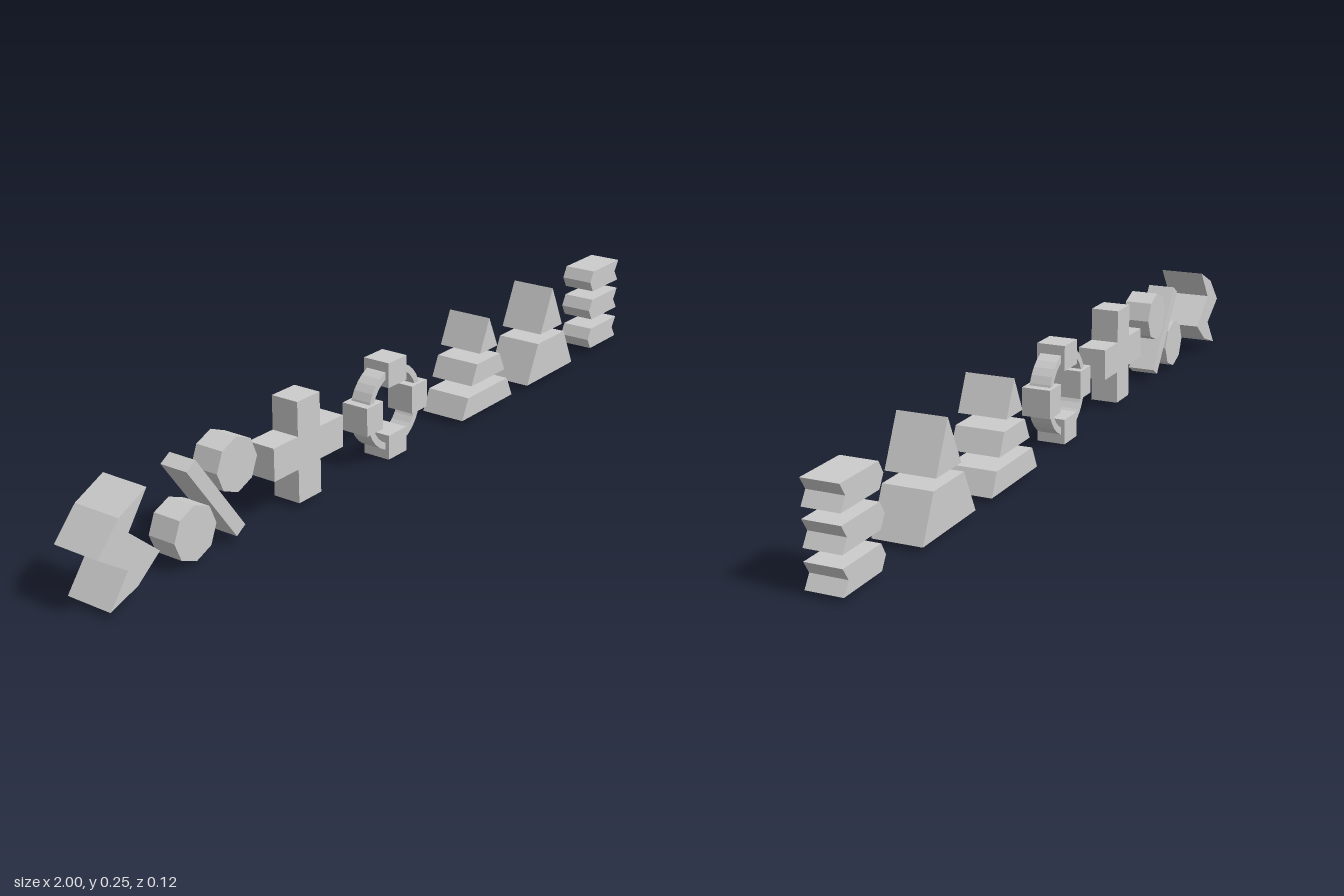
import * as THREE from 'three';

const material = new THREE.MeshStandardMaterial({ color: 0xcccccc, flatShading: true });

export function createModel() {
  const model = new THREE.Group();

  const symbol = (name) => {
    const group = new THREE.Group();
    group.name = name;
    model.add(group);
    return group;
  };

  // Extrude a closed outline symmetrically about z = 0
  const slab = (parent, name, outline, halfDepth, hole) => {
    const shape = new THREE.Shape(outline.map(([x, y]) => new THREE.Vector2(x, y)));
    if (hole) shape.holes.push(new THREE.Path(hole.map(([x, y]) => new THREE.Vector2(x, y))));
    const geometry = new THREE.ExtrudeGeometry(shape, { depth: 2 * halfDepth, bevelEnabled: false });
    geometry.translate(0, 0, -halfDepth);
    const mesh = new THREE.Mesh(geometry, material);
    mesh.name = name;
    parent.add(mesh);
    return mesh;
  };

  // Regular polygon outline with a corner on the +x axis
  const polygon = (cx, cy, r, n) => Array.from({ length: n }, (_, i) => {
    const a = (i / n) * Math.PI * 2;
    return [cx + r * Math.cos(a), cy + r * Math.sin(a)];
  });

  const block = (parent, name, x, y, w, h, d) => {
    const mesh = new THREE.Mesh(new THREE.BoxGeometry(w, h, d), material);
    mesh.name = name;
    mesh.position.set(x, y, 0);
    parent.add(mesh);
    return mesh;
  };

  // Zigzag with bent, pointed ends
  slab(symbol('zigzag'), 'zigzagBody', [
    [-0.863, 0.235], [-0.94, 0.199], [-1, 0.135], [-0.924, 0.083],
    [-0.976, 0.015], [-0.9, 0.041], [-0.837, 0.09], [-0.917, 0.16],
  ], 0.058);

  // Two octagons separated by a slanted bar
  const percent = symbol('dividedOctagons');
  slab(percent, 'upperOctagon', polygon(-0.581, 0.175, 0.062, 8), 0.035);
  slab(percent, 'lowerOctagon', polygon(-0.712, 0.071, 0.062, 8), 0.035);
  slab(percent, 'slantedBar', [[-0.73, 0.211], [-0.703, 0.228], [-0.563, 0.033], [-0.59, 0.016]], 0.035);

  // Cross
  const a = 0.038, b = 0.118;
  const cross = slab(symbol('cross'), 'crossBody', [
    [a, b], [-a, b], [-a, a], [-b, a], [-b, -a], [-a, -a],
    [-a, -b], [a, -b], [a, -a], [b, -a], [b, a], [a, a],
  ], 0.035);
  cross.position.set(-0.348, 0.132, 0);

  // Ring with four blocks
  const ring = symbol('ringWithBlocks');
  ring.position.set(-0.024, 0.121, 0);
  slab(ring, 'ring', polygon(0, 0, 0.102, 32), 0.026, polygon(0, 0, 0.086, 32).reverse());
  for (const side of [-1, 1]) {
    block(ring, 'sideBlock', side * 0.087, 0, 0.06, 0.068, 0.07);
    block(ring, 'endBlock', 0, side * 0.089, 0.07, 0.06, 0.07);
  }

  // Triangular prisms cut into horizontal tiers
  const apex = 0.249;
  const tieredPrism = (name, cx, tiers) => {
    const group = symbol(name);
    const half = (y) => (apex - y) * 0.479;
    for (const [y0, y1] of tiers) {
      const outline = [[cx - half(y0), y0], [cx + half(y0), y0], [cx + half(y1), y1]];
      if (y1 < apex) outline.push([cx - half(y1), y1]);
      slab(group, 'prismTier', outline, 0.058);
    }
  };
  tieredPrism('threeTierPrism', 0.324, [[0.015, 0.067], [0.094, 0.144], [0.168, apex]]);
  tieredPrism('twoTierPrism', 0.623, [[0.015, 0.115], [0.138, apex]]);

  // Stack of bars: pointed on one end, notched on the other
  const stack = symbol('barStack');
  for (const y of [0.041, 0.124, 0.204]) {
    const h = 0.028;
    slab(stack, 'notchedBar', [
      [0.848, y], [0.864, y - h], [1, y - h], [0.982, y], [1, y + h], [0.864, y + h],
    ], 0.042);
  }

  return model;
}
